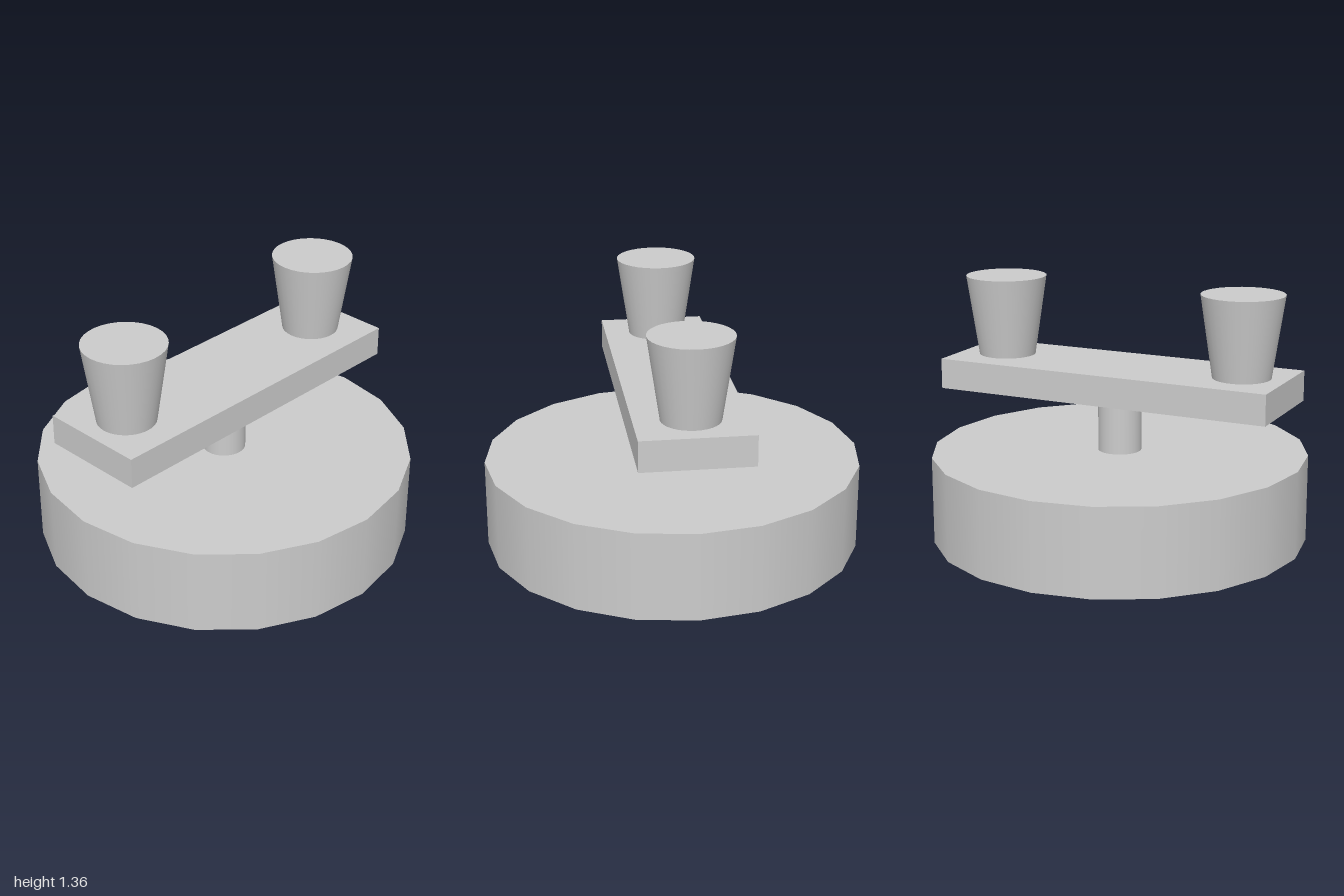
import * as THREE from 'three';

export function createModel() {
  const model = new THREE.Group();
  const material = new THREE.MeshStandardMaterial({ color: 0xcccccc });

  const add = (name, geometry, y, z = 0) => {
    const mesh = new THREE.Mesh(geometry, material);
    mesh.name = name;
    mesh.position.set(0, y, z);
    model.add(mesh);
  };
  // Round part standing between two heights
  const round = (name, rTop, rBottom, y0, y1, sides, z = 0) =>
    add(name, new THREE.CylinderGeometry(rTop, rBottom, y1 - y0, sides), (y0 + y1) / 2, z);

  const baseTop = 0.467, barBottom = 0.767, barTop = 0.928, cupTop = 1.357;

  // Broad twenty-sided base and its central post
  round('base', 1, 1, 0, baseTop, 20);
  round('post', 0.115, 0.115, baseTop, barBottom, 32);

  // Crossbar carried by the post
  add('crossbar', new THREE.BoxGeometry(0.574, barTop - barBottom, 1.846), (barBottom + barTop) / 2);

  // Flared knobs at both ends of the bar
  round('frontKnob', 0.216, 0.152, barTop, cupTop, 32, 0.687);
  round('backKnob', 0.216, 0.152, barTop, cupTop, 32, -0.677);

  return model;
}
